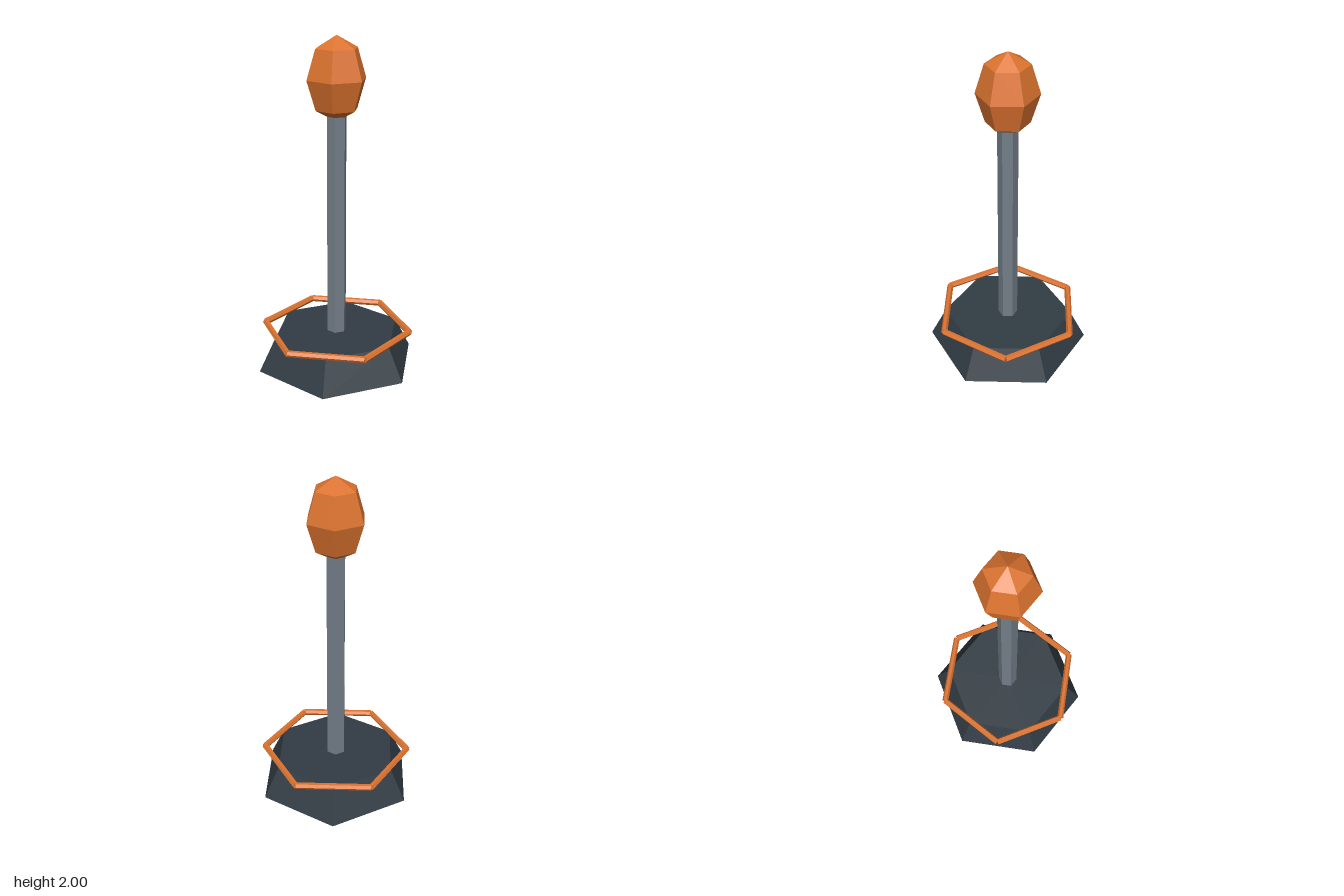
import * as THREE from 'three';

const flat = (name, color) => {
  const m = new THREE.MeshStandardMaterial({ color, flatShading: true });
  m.name = name;
  return m;
};

export function createModel() {
  const group = new THREE.Group();
  const slate = flat('dark slate', 0x323c44);
  const steel = flat('grey steel', 0x737e88);
  const orange = flat('orange', 0xdc732f);

  const add = (name, geometry, material, y, parent = group) => {
    const mesh = new THREE.Mesh(geometry, material);
    mesh.name = name;
    mesh.position.y = y;
    parent.add(mesh);
    return mesh;
  };

  // Tapered hexagonal foot and slim hexagonal post
  add('base', new THREE.CylinderGeometry(0.4, 0.5, 0.2, 6), slate, 0.1);
  add('post', new THREE.CylinderGeometry(0.06, 0.06, 1.4, 6), steel, 0.9);

  // Faceted bulb, stretched upright, with corners towards front and back
  const bulb = new THREE.SphereGeometry(0.18, 6, 4);
  bulb.rotateY(Math.PI / 2);
  bulb.scale(1, 0.245 / 0.18, 1);
  add('bulb', bulb, orange, 1.755);

  // Hexagonal ring of six separate rods
  const ring = new THREE.Group();
  ring.name = 'ring';
  ring.position.y = 0.213;
  group.add(ring);
  const rod = new THREE.CylinderGeometry(0.02, 0.02, 0.45, 6);
  rod.rotateZ(Math.PI / 2);
  for (let i = 0; i < 6; i++) {
    const a = (i * Math.PI) / 3;
    const mesh = add('ringRod', rod, orange, 0, ring);
    mesh.position.set(Math.sin(a) * 0.39, 0, Math.cos(a) * 0.39);
    mesh.rotation.y = a;
  }
  return group;
}
